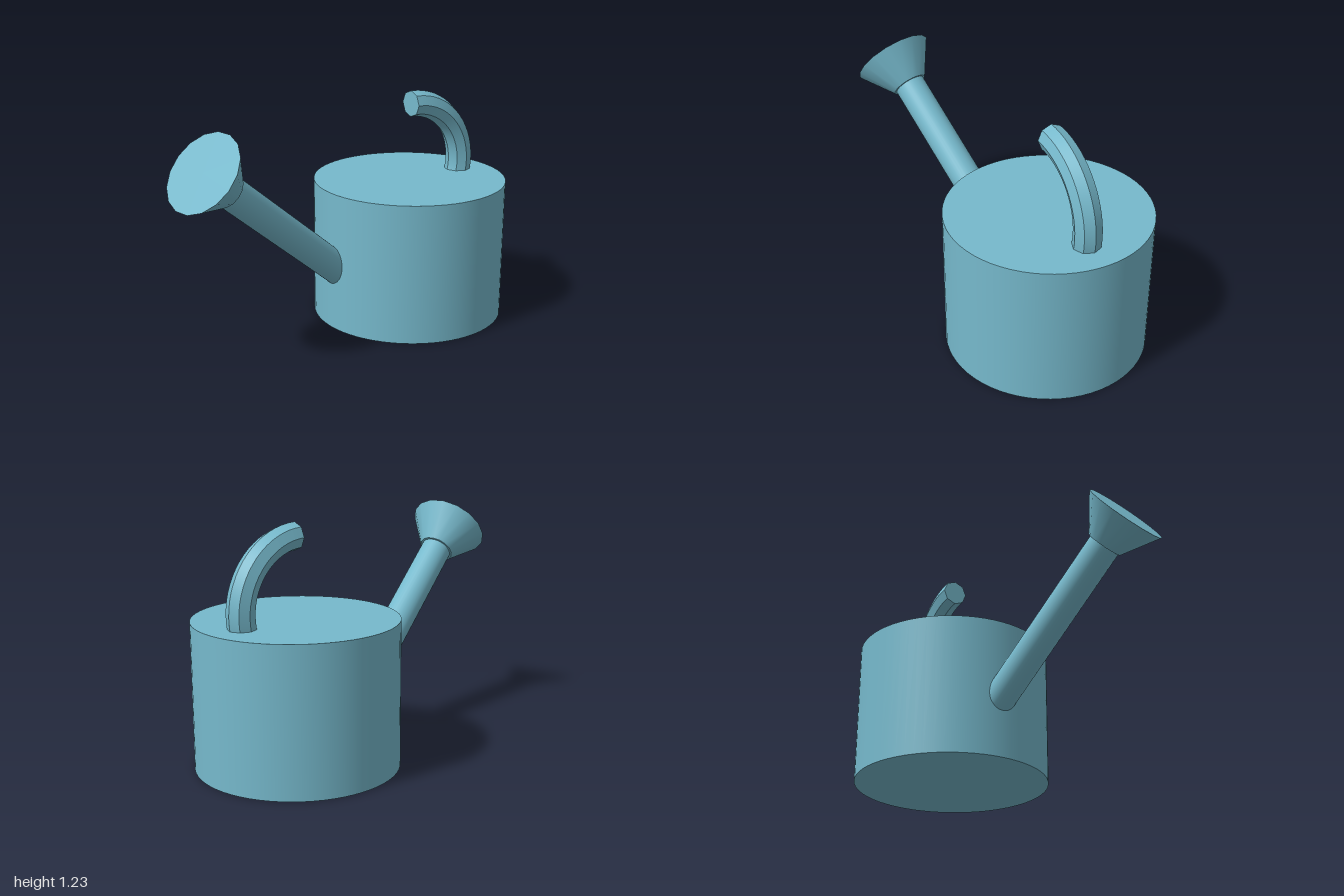
import * as THREE from 'three';
import { toCreasedNormals } from 'three/addons/utils/BufferGeometryUtils.js';

const BODY_X = 0.483, BODY_R = 0.517, BODY_H = 0.75;

export function createModel() {
  const model = new THREE.Group();
  model.name = 'wateringCan';
  const paint = new THREE.MeshStandardMaterial({ color: 0x76b9cc });
  paint.name = 'soft blue';

  const add = (name, geometry, parent = model) => {
    const mesh = new THREE.Mesh(geometry, paint);
    mesh.name = name;
    parent.add(mesh);
    return mesh;
  };

  // Closed cylinder or cone running from one point to another
  const addTube = (name, from, to, startR, endR, sides) => {
    const axis = to.clone().sub(from);
    const mesh = add(name, new THREE.CylinderGeometry(endR, startR, axis.length(), sides));
    mesh.position.copy(from).add(to).multiplyScalar(0.5);
    mesh.quaternion.setFromUnitVectors(new THREE.Vector3(0, 1, 0), axis.normalize());
  };

  // Drum-shaped body
  add('body', new THREE.CylinderGeometry(BODY_R, BODY_R, BODY_H, 64))
    .position.set(BODY_X, BODY_H / 2, 0);

  // Spout and flared rose, sharing one slanted axis
  const direction = new THREE.Vector3(-1, 0.82, 0.22).normalize();
  const mouth = new THREE.Vector3(-0.03, 0.355, 0.013);
  const along = (d) => mouth.clone().addScaledVector(direction, d);
  addTube('spout', along(-0.2), along(0.93), 0.083, 0.083, 32);
  addTube('rose', along(0.912), along(1.094), 0.095, 0.214, 16);

  // Half-ring handle with eight flat sides; its lower half sits inside the body
  const handle = new THREE.Group();
  handle.name = 'handle';
  handle.position.set(BODY_X, 0.813, 0);
  handle.rotation.z = -Math.PI / 2;
  model.add(handle);
  const ringR = 0.342, tubeR = 0.07;
  add('handleBar', toCreasedNormals(
    new THREE.TorusGeometry(ringR, tubeR, 8, 32, Math.PI), Math.PI / 6), handle);
  for (const side of [1, -1]) {
    const cap = add('handleEnd', new THREE.CircleGeometry(tubeR, 8), handle);
    cap.position.x = side * ringR;
    cap.rotation.x = Math.PI / 2;
  }
  return model;
}
